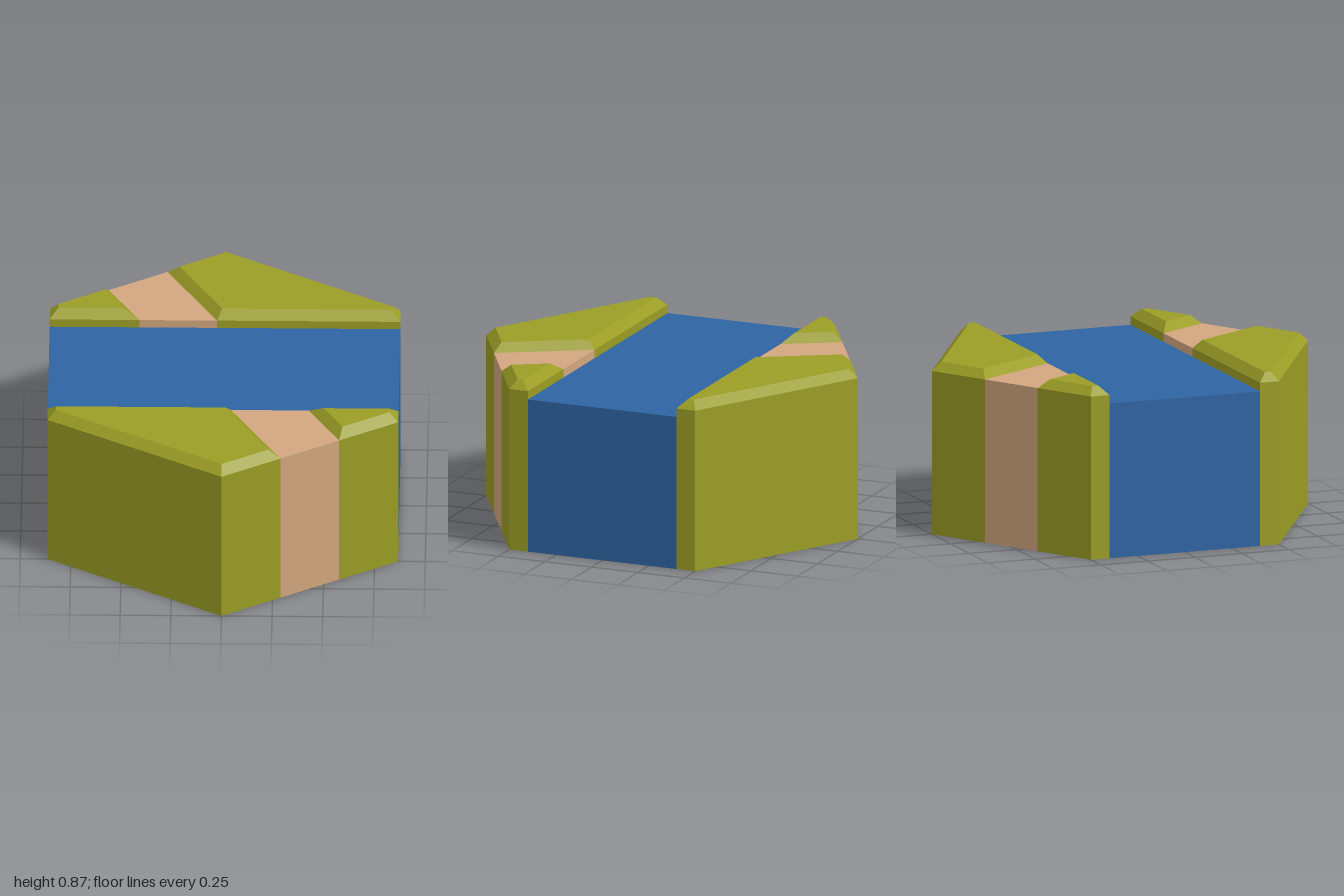
import * as THREE from 'three';

const W = 0.866;       // half width of the hexagon
const BANK = 0.4;      // z of the river edge
const WATER_Y = 0.78, ROAD_Y = 0.823, GRASS_Y = 0.866, BEVEL = 0.0433;

const material = (name, color) => {
  const m = new THREE.MeshStandardMaterial({ color });
  m.name = name;
  return m;
};

// Prism over an [x, z] outline (counter-clockwise from above).
// bases[i] is where the wall of edge i starts, or null for no wall.
function prism(outline, bases, wallY, bevel = 0) {
  const pos = [];
  const n = outline.length;
  const topY = bevel ? GRASS_Y : wallY;
  const at = ([x, z], y) => [x, y, z];
  const quad = (a, b, c, d) => pos.push(...a, ...b, ...c, ...a, ...c, ...d);

  // inward normal of every edge
  const normals = outline.map(([x, z], i) => {
    const [u, v] = outline[(i + 1) % n];
    const len = Math.hypot(u - x, v - z);
    return [(v - z) / len, (x - u) / len];
  });
  const inner = outline.map(([x, z], i) => {
    const a = normals[(i + n - 1) % n], b = normals[i];
    const k = bevel / (1 + a[0] * b[0] + a[1] * b[1]);
    return [x + k * (a[0] + b[0]), z + k * (a[1] + b[1])];
  });

  for (let i = 0; i < n; i++) {
    const j = (i + 1) % n, p = outline[i], q = outline[j];
    if (bases[i] !== null) quad(at(p, bases[i]), at(q, bases[i]), at(q, wallY), at(p, wallY));
    if (bevel) quad(at(p, wallY), at(q, wallY), at(inner[j], topY), at(inner[i], topY));
    if (i > 0 && i < n - 1) pos.push(...at(inner[0], topY), ...at(inner[i], topY), ...at(inner[j], topY));
  }
  const g = new THREE.BufferGeometry();
  g.setAttribute('position', new THREE.Float32BufferAttribute(pos, 3));
  g.computeVertexNormals();
  return g;
}

export function createModel() {
  const grass = material('grass', 0x9b9d25);
  const water = material('water', 0x2e65a3);
  const road = material('road', 0xd2a77f);
  const model = new THREE.Group();
  model.name = 'riverTile';

  const add = (parent, name, geometry, mat) => {
    const mesh = new THREE.Mesh(geometry, mat);
    mesh.name = name;
    parent.add(mesh);
  };

  // River running straight across, open to both tile edges
  add(model, 'river', prism(
    [[-W, -BANK], [-W, BANK], [W, BANK], [W, -BANK]], [0, null, 0, null], WATER_Y), water);

  // Hexagonal underside
  const hexagon = new THREE.Shape(
    [[0, 1], [-W, 0.5], [-W, -0.5], [0, -1], [W, -0.5], [W, 0.5]].map(([x, z]) => new THREE.Vector2(x, z)));
  add(model, 'underside', new THREE.ShapeGeometry(hexagon).rotateX(Math.PI / 2), water);

  // Road corners: outer tile edge and river edge
  const outA = [0.289, 0.833], outB = [0.577, 0.667];
  const inA = [0.039, BANK], inB = [0.423, BANK];

  // Two identical banks, half a turn apart
  for (const [name, angle] of [['frontBank', 0], ['backBank', Math.PI]]) {
    const bank = new THREE.Group();
    bank.name = name;
    bank.rotation.y = angle;
    add(bank, 'largeGrass', prism(
      [[-W, BANK], [-W, 0.5], [0, 1], outA, inA], [0, 0, 0, null, WATER_Y], ROAD_Y, BEVEL), grass);
    add(bank, 'smallGrass', prism(
      [inB, outB, [W, 0.5], [W, BANK]], [null, 0, 0, WATER_Y], ROAD_Y, BEVEL), grass);
    add(bank, 'road', prism([inA, outA, outB, inB], [null, 0, null, WATER_Y], ROAD_Y), road);
    model.add(bank);
  }
  return model;
}
